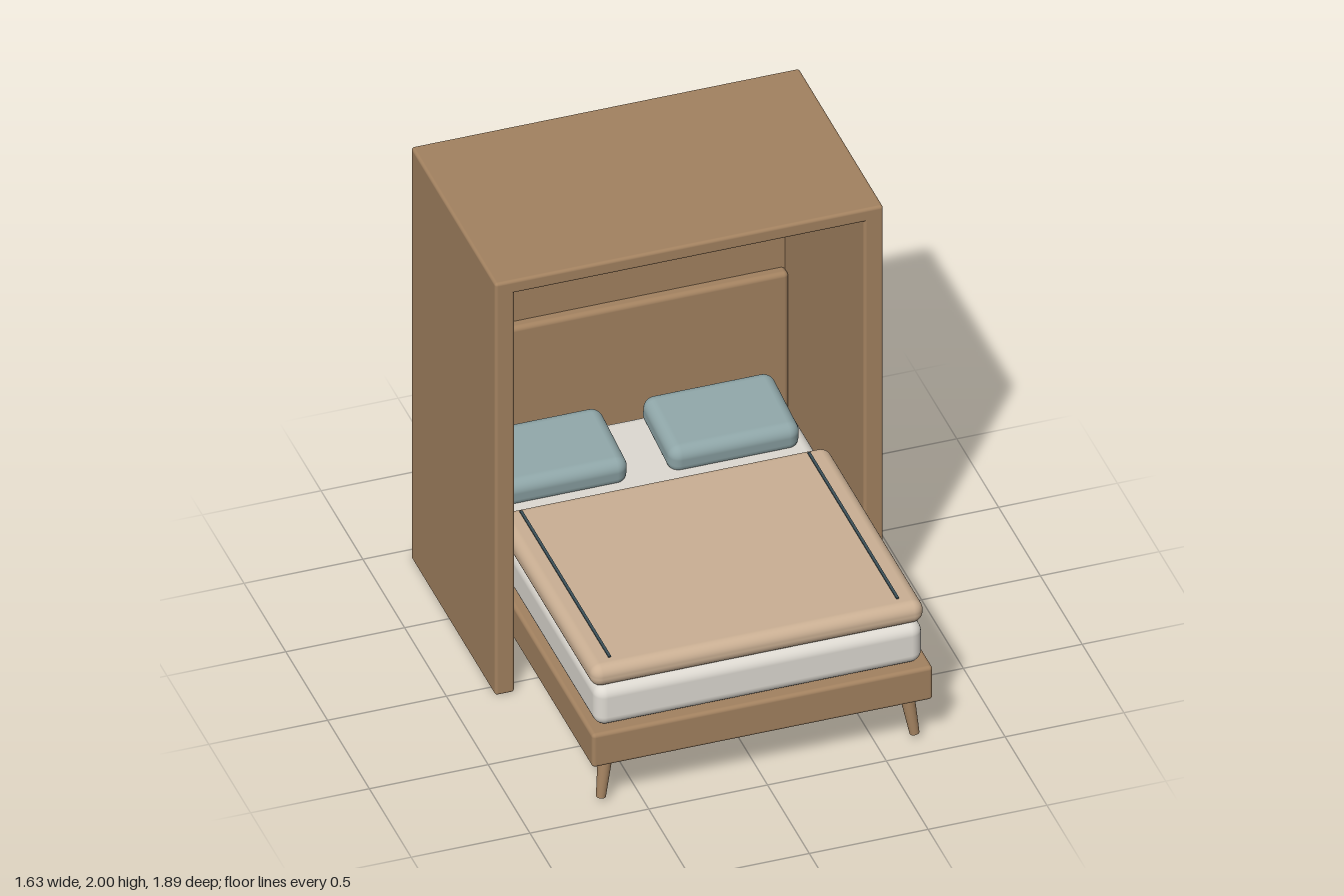
import * as THREE from 'three';
import { RoundedBoxGeometry } from 'three/addons/geometries/RoundedBoxGeometry.js';

const material = (name, color) => {
  const m = new THREE.MeshStandardMaterial({ color });
  m.name = name;
  return m;
};

export function createModel() {
  const wood = material('oak wood', 0xa38260);
  const linen = material('white linen', 0xdedad2);
  const blanketCloth = material('beige blanket', 0xcbb094);
  const pillowCloth = material('blue grey cotton', 0x8fa6a8);
  const trim = material('dark teal trim', 0x3c5058);

  const model = new THREE.Group();
  model.name = 'cabinetBed';

  // Rounded block given by its [min, max] extents on each axis
  const block = (name, mat, [x0, x1], [y0, y1], [z0, z1], radius, parent = model) => {
    const geometry = new RoundedBoxGeometry(x1 - x0, y1 - y0, z1 - z0, 4, radius);
    const mesh = new THREE.Mesh(geometry, mat);
    mesh.position.set((x0 + x1) / 2, (y0 + y1) / 2, (z0 + z1) / 2);
    mesh.name = name;
    parent.add(mesh);
    return mesh;
  };

  // Cabinet: open at the front and the bottom
  const cabinet = new THREE.Group();
  cabinet.name = 'cabinet';
  model.add(cabinet);
  const depth = [-0.93, 0.065];
  block('leftSidePanel', wood, [0.735, 0.817], [0, 2], depth, 0.013, cabinet);
  block('rightSidePanel', wood, [-0.817, -0.735], [0, 2], depth, 0.013, cabinet);
  block('topPanel', wood, [-0.817, 0.817], [1.938, 2], depth, 0.013, cabinet);
  block('backPanel', wood, [-0.817, 0.817], [0, 2], [-0.945, -0.88], 0.013, cabinet);
  block('headboard', wood, [-0.735, 0.735], [0.3, 1.1], [-0.89, -0.83], 0.02, cabinet);

  // Bed frame, mattress and blanket
  block('bedFrame', wood, [-0.717, 0.717], [0.21, 0.37], [-0.89, 0.945], 0.016);
  block('mattress', linen, [-0.69, 0.69], [0.37, 0.562], [-0.83, 0.915], 0.05);
  block('blanket', blanketCloth, [-0.7, 0.7], [0.553, 0.653], [-0.27, 0.902], 0.045);

  // Tapered legs splayed towards the corners
  const down = new THREE.Vector3(0, -1, 0);
  for (const sx of [-1, 1]) {
    for (const [zTop, zFoot, end] of [[0.858, 0.882, 'front'], [-0.805, -0.83, 'rear']]) {
      const top = new THREE.Vector3(sx * 0.63, 0.235, zTop);
      const foot = new THREE.Vector3(sx * 0.66, 0.021, zFoot);
      const leg = new THREE.Mesh(
        new THREE.CylinderGeometry(0.032, 0.02, top.distanceTo(foot), 24), wood);
      leg.position.copy(top).add(foot).multiplyScalar(0.5);
      leg.quaternion.setFromUnitVectors(down, foot.clone().sub(top).normalize());
      leg.name = end + (sx > 0 ? 'Left' : 'Right') + 'Leg';
      model.add(leg);
    }

    // Pillows leaning slightly towards the headboard
    const side = sx > 0 ? 'left' : 'right';
    const pillow = block(side + 'Pillow', pillowCloth,
      [sx * 0.362 - 0.276, sx * 0.362 + 0.276], [0.555, 0.685], [-0.775, -0.4], 0.05);
    pillow.rotation.x = 0.12;

    // Thin trim along each side of the blanket
    const stripe = new THREE.Mesh(new THREE.BoxGeometry(0.012, 0.008, 1.065), trim);
    stripe.position.set(sx * 0.606, 0.654, 0.303);
    stripe.name = side + 'BlanketStripe';
    model.add(stripe);
  }

  return model;
}
